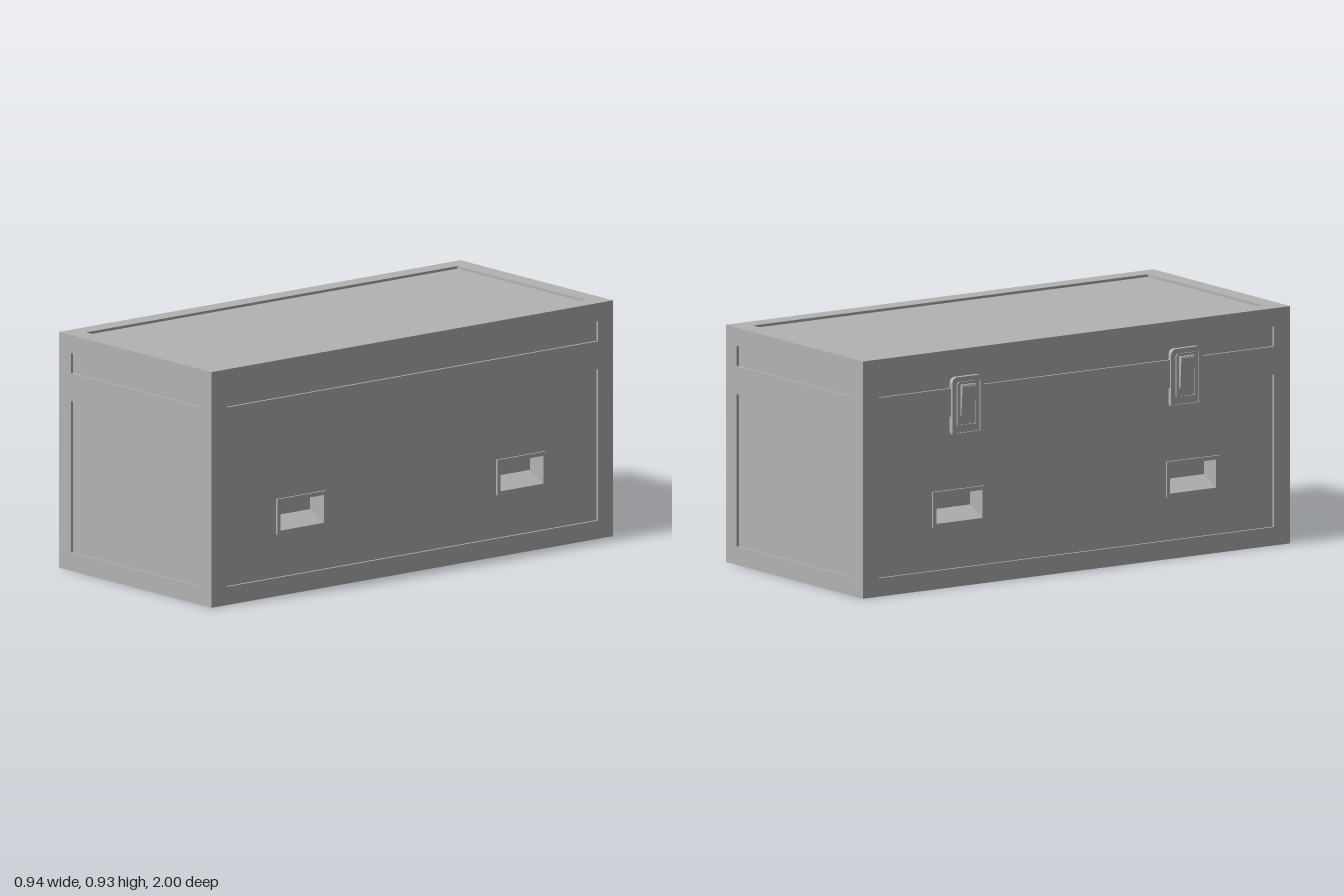
import * as THREE from 'three';

const W = 0.4615, H = 0.928, L = 1;      // half width, height, half length
const CX = 0.0065, INSET = 0.01;

export function createModel() {
  const root = new THREE.Group();
  root.name = 'storageCase';
  const grey = new THREE.MeshStandardMaterial({ color: 0xb3b3b3 });
  grey.name = 'grey';

  const add = (parent, geo, name, x = 0, y = 0, z = 0) => {
    const m = new THREE.Mesh(geo, grey);
    m.name = name;
    m.position.set(x, y, z);
    parent.add(m);
    return m;
  };

  // Rectangles are [x0, y0, x1, y1]
  const corners = ([x0, y0, x1, y1]) => [[x0, y0], [x1, y0], [x1, y1], [x0, y1]];
  const toPoints = r => corners(r).map(c => new THREE.Vector2(...c));
  const sheet = (r, holes = []) => {
    const s = new THREE.Shape(toPoints(r));
    holes.forEach(h => s.holes.push(new THREE.Path(toPoints(h))));
    return new THREE.ShapeGeometry(s);
  };

  // Four walls joining rectangle a at za to b at zb (faces inward when za > zb)
  const walls = (a, za, b, zb) => {
    const A = corners(a), B = corners(b), v = [];
    for (let i = 0; i < 4; i++) {
      const j = (i + 1) % 4;
      const p = [...A[i], za], q = [...A[j], za], r = [...B[j], zb], s = [...B[i], zb];
      v.push(...p, ...q, ...r, ...p, ...r, ...s);
    }
    const g = new THREE.BufferGeometry();
    g.setAttribute('position', new THREE.Float32BufferAttribute(v, 3));
    g.computeVertexNormals();
    return g;
  };

  // One side of the case: a border with recessed panels
  const side = (name, outer, panels, pocketFrames = []) => {
    const g = new THREE.Group();
    g.name = name;
    add(g, sheet(outer, panels), 'border');
    panels.forEach((p, i) => {
      add(g, walls(p, 0, p, -INSET), 'panelEdge');
      add(g, sheet(p, i === 0 ? pocketFrames : []), 'panel', 0, 0, -INSET);
    });
    root.add(g);
    return g;
  };

  // Sunken hand grip with a thin raised frame and a sloping floor
  const pocket = (parent, frame) => {
    const m = 0.015, top = -0.002, deep = -0.085;
    const open = [frame[0] + m, frame[1] + m, frame[2] - m, frame[3] - m];
    const back = [open[0], open[1] + 0.04, open[2], open[3]];
    add(parent, walls(frame, -INSET, frame, top), 'gripFrameEdge');
    add(parent, sheet(frame, [open]), 'gripFrame', 0, 0, top);
    add(parent, walls(open, top, back, deep), 'gripWalls');
    add(parent, sheet(back), 'gripBack', 0, 0, deep);
  };

  const rounded = (w, h, r, T = THREE.Shape) => {
    const s = new T();
    const x = w / 2 - r, y = h / 2 - r;
    s.absarc(x, y, r, 0, Math.PI / 2);
    s.absarc(-x, y, r, Math.PI / 2, Math.PI);
    s.absarc(-x, -y, r, Math.PI, Math.PI * 1.5);
    s.absarc(x, -y, r, Math.PI * 1.5, Math.PI * 2);
    s.closePath();
    return s;
  };
  const rim = (w, h, r, band, depth) => {
    const s = rounded(w, h, r);
    s.holes.push(rounded(w - band * 2, h - band * 2, Math.max(r - band, 0.004), THREE.Path));
    return new THREE.ExtrudeGeometry(s, { depth, bevelEnabled: false, curveSegments: 6 });
  };

  // Latch: rimmed backing plate, inner rim and wedge lever
  const latch = (parent, x) => {
    const g = new THREE.Group();
    g.name = 'latch';
    g.position.set(x, 0.7025, 0);
    add(g, rim(0.147, 0.235, 0.022, 0.016, 0.018), 'latchRim', 0, 0, -INSET);
    add(g, new THREE.ExtrudeGeometry(rounded(0.13, 0.218, 0.015),
      { depth: 0.012, bevelEnabled: false, curveSegments: 6 }), 'latchPlate', 0, 0, -INSET);
    add(g, rim(0.098, 0.178, 0.012, 0.01, 0.005), 'latchInnerRim', 0, 0.008, 0.002);
    const w = 0.064;
    const profile = new THREE.Shape([[0, -0.04], [0.009, -0.038], [0.0145, 0.03],
      [0.017, 0.078], [0.015, 0.086], [0, 0.087]].map(p => new THREE.Vector2(...p)));
    const lever = new THREE.ExtrudeGeometry(profile, { depth: w, bevelEnabled: false });
    lever.rotateY(-Math.PI / 2);
    lever.translate(w / 2, 0, 0);
    add(g, lever, 'latchLever');
    parent.add(g);
  };

  // Upright sides: a large lower panel and a narrow lid strip
  const upright = (name, half, inset, frames) => side(name, [-half, 0, half, H],
    [[-inset, 0.072, inset, 0.668], [-inset, 0.778, inset, 0.857]], frames);

  const PX = 0.388, PZ = 0.924;          // panel half sizes
  const frames = [-0.547, 0.547].map(c => [c - 0.1225, 0.24, c + 0.1225, 0.38]);

  for (const s of [1, -1]) {
    const end = upright(s > 0 ? 'frontEnd' : 'backEnd', W, PX);
    end.position.set(CX, 0, s * L);
    end.rotation.y = s > 0 ? 0 : Math.PI;

    const long = upright(s > 0 ? 'leftSide' : 'rightSide', L, PZ, frames);
    long.position.set(CX + s * W, 0, 0);
    long.rotation.y = s * Math.PI / 2;
    frames.forEach(f => pocket(long, f));
    if (s < 0) [-0.513, 0.511].forEach(z => latch(long, z));

    const cap = side(s > 0 ? 'lidTop' : 'base', [-W, -L, W, L], [[-PX, -PZ, PX, PZ]]);
    cap.position.set(CX, s > 0 ? H : 0, 0);
    cap.rotation.x = -s * Math.PI / 2;
  }
  return root;
}
